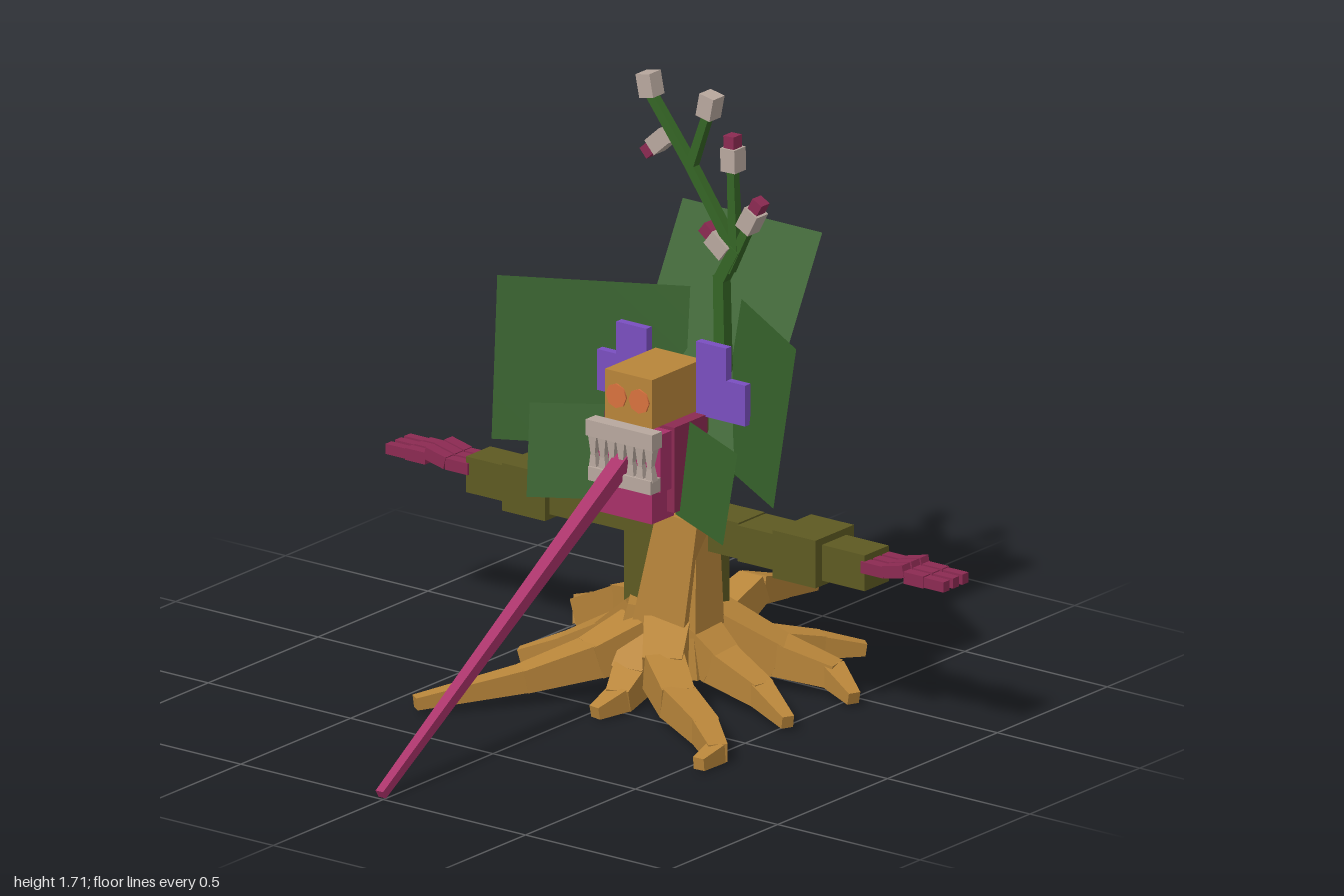
import * as THREE from 'three';

const mat = (name, color, side = THREE.FrontSide) => {
  const m = new THREE.MeshStandardMaterial({ color, side });
  m.name = name;
  return m;
};

export function createModel() {
  const ochre = mat('ochre bark', 0xb8853a);
  const olive = mat('olive wood', 0x5e5a22);
  const leafGreen = mat('leaf green', 0x35602a, THREE.DoubleSide);
  const stemGreen = mat('stem green', 0x356525);
  const pink = mat('magenta', 0xa83068);
  const wine = mat('wine red', 0x8c2a52);
  const bone = mat('bone grey', 0xb8a89e);
  const purple = mat('purple', 0x7a4fc0);
  const orange = mat('orange', 0xd8723e);

  const model = new THREE.Group();
  const V = (p) => new THREE.Vector3(...p);
  const group = (name) => {
    const g = new THREE.Group();
    g.name = name;
    model.add(g);
    return g;
  };

  // Box given by its min and max corners
  const box = (name, m, a, b, parent = model) => {
    const mesh = new THREE.Mesh(new THREE.BoxGeometry(b[0] - a[0], b[1] - a[1], b[2] - a[2]), m);
    mesh.name = name;
    mesh.position.set((a[0] + b[0]) / 2, (a[1] + b[1]) / 2, (a[2] + b[2]) / 2);
    parent.add(mesh);
    return mesh;
  };

  // Square bar between two points, w0 wide at the start and w1 at the end
  const bar = (name, m, p, q, w0, w1, parent = model) => {
    const a = V(p), b = V(q), dir = b.clone().sub(a), len = dir.length();
    const geo = new THREE.BoxGeometry(1, 1, len);
    const pos = geo.attributes.position;
    for (let i = 0; i < pos.count; i++) {
      const w = pos.getZ(i) > 0 ? w1 : w0;
      pos.setXY(i, pos.getX(i) * w, pos.getY(i) * w);
    }
    geo.computeVertexNormals();
    const mesh = new THREE.Mesh(geo, m);
    mesh.name = name;
    mesh.position.copy(a).add(b).multiplyScalar(0.5);
    mesh.lookAt(b);
    parent.add(mesh);
    return mesh;
  };

  // Chain of bars with steadily shrinking width
  const chain = (name, m, pts, w0, w1, parent) => {
    const n = pts.length - 1;
    const w = (i) => w0 + (w1 - w0) * i / n;
    for (let i = 0; i < n; i++) {
      const ext = V(pts[i + 1]).sub(V(pts[i])).setLength(i < n - 1 ? 0.012 : 0);
      bar(name, m, pts[i], V(pts[i + 1]).add(ext).toArray(), w(i), w(i + 1), parent);
    }
  };

  // Flat four-cornered leaf
  const leaf = (name, corners) => {
    const geo = new THREE.BufferGeometry();
    geo.setAttribute('position', new THREE.Float32BufferAttribute(corners.flat(), 3));
    geo.setIndex([0, 1, 2, 0, 2, 3]);
    geo.computeVertexNormals();
    const mesh = new THREE.Mesh(geo, leafGreen);
    mesh.name = name;
    model.add(mesh);
  };

  // Trunk with bark slabs on its front
  box('trunk', olive, [-0.11, 0.06, -0.435], [0.11, 0.65, -0.24]);
  const bark = group('bark');
  bar('barkColumn', ochre, [0.03, 0.12, -0.255], [0.095, 0.535, -0.265], 0.17, 0.13, bark);
  bar('barkShoulder', ochre, [0.095, 0.2, -0.28], [0.1, 0.59, -0.28], 0.13, 0.1, bark);
  bar('barkLeft', ochre, [-0.06, 0.06, -0.22], [-0.03, 0.25, -0.24], 0.14, 0.1, bark);
  bar('barkRight', ochre, [0.1, 0.06, -0.28], [0.08, 0.28, -0.28], 0.14, 0.12, bark);

  // Roots spreading over the ground
  const roots = group('roots');
  const rootPaths = [
    [[-0.02, 0.16, -0.4], [-0.02, 0.11, -0.55], [-0.015, 0.17, -0.7], [-0.02, 0.14, -0.83], [-0.03, 0.1, -1]],
    [[0.07, 0.16, -0.4], [0.13, 0.08, -0.54], [0.23, 0.06, -0.68], [0.32, 0.04, -0.78]],
    [[-0.07, 0.16, -0.4], [-0.13, 0.08, -0.54], [-0.235, 0.06, -0.67], [-0.36, 0.04, -0.76]],
    [[-0.08, 0.18, -0.38], [-0.25, 0.15, -0.45], [-0.44, 0.07, -0.5], [-0.485, 0.05, -0.6], [-0.47, 0.045, -0.7]],
    [[-0.06, 0.2, -0.28], [-0.16, 0.13, -0.26], [-0.28, 0.08, -0.215], [-0.41, 0.04, -0.155]],
    [[-0.03, 0.16, -0.2], [-0.09, 0.12, -0.08], [-0.2, 0.08, 0.09], [-0.385, 0.04, 0.355]],
    [[0.02, 0.14, -0.2], [0.035, 0.08, -0.09], [0.06, 0.05, 0], [0.045, 0.03, 0.095]],
    [[0.06, 0.18, -0.22], [0.135, 0.12, -0.1], [0.25, 0.08, -0.01], [0.41, 0.05, 0.07], [0.54, 0.04, 0.18], [0.545, 0.03, 0.27]],
    [[0.08, 0.18, -0.28], [0.2, 0.11, -0.27], [0.37, 0.07, -0.235], [0.53, 0.035, -0.155]],
    [[0.08, 0.18, -0.38], [0.27, 0.1, -0.45], [0.43, 0.07, -0.485], [0.55, 0.035, -0.43]],
  ];
  rootPaths.forEach((p) => chain('root', ochre, p, 0.13, 0.036, roots));

  // Arms, each with three fingers
  for (const s of [1, -1]) {
    const arm = group(s > 0 ? 'leftArm' : 'rightArm');
    const seg = (name, m, x0, x1, y0, y1, z0, z1) =>
      box(name, m, [Math.min(s * x0, s * x1), y0, z0], [Math.max(s * x0, s * x1), y1, z1], arm);
    seg('upperArm', olive, 0.1, 0.26, 0.425, 0.53, -0.4, -0.28);
    seg('elbow', olive, 0.26, 0.4, 0.42, 0.525, -0.405, -0.275);
    seg('forearm', olive, 0.4, 0.55, 0.405, 0.545, -0.43, -0.255);
    seg('wrist', olive, 0.55, 0.7, 0.42, 0.525, -0.395, -0.285);
    for (const z of [-0.38, -0.338, -0.295]) {
      seg('fingerBase', wine, 0.69, 0.77, 0.473, 0.507, z - 0.016, z + 0.016);
      bar('knuckle', wine, [s * 0.77, 0.492, z], [s * 0.84, 0.508, z], 0.036, 0.036, arm);
      seg('fingerMiddle', wine, 0.84, 0.91, 0.473, 0.508, z - 0.016, z + 0.016);
      seg('fingerTip', wine, 0.91, 0.98, 0.475, 0.505, z - 0.014, z + 0.014);
    }
  }

  // Head, eyes and ears
  box('neck', olive, [-0.07, 0.64, -0.39], [0.07, 0.93, -0.3]);
  box('head', ochre, [-0.085, 0.81, -0.35], [0.08, 0.955, -0.12]);
  for (const s of [1, -1]) {
    const eye = new THREE.Mesh(new THREE.CylinderGeometry(0.036, 0.036, 0.006, 8), orange);
    eye.name = 'eye';
    eye.rotation.x = Math.PI / 2;
    eye.position.set(s * 0.04 - 0.003, 0.885, -0.118);
    model.add(eye);
    const ear = group(s > 0 ? 'leftEar' : 'rightEar');
    box('earInner', purple, [-0.053, 0.805, -0.336], [0.053, 1.02, -0.311], ear).position.x = s * 0.14;
    box('earOuter', purple, [-0.034, 0.805, -0.336], [0.034, 0.925, -0.311], ear).position.x = s * 0.226;
  }

  // Mouth, jaw and teeth
  box('mouth', wine, [-0.125, 0.56, -0.32], [0.12, 0.81, -0.17]);
  box('palate', pink, [-0.11, 0.63, -0.17], [0.11, 0.8, -0.12]);
  box('lowerJaw', pink, [-0.1, 0.54, -0.2], [0.095, 0.635, -0.1]);
  const teeth = group('teeth');
  box('upperGum', bone, [-0.118, 0.765, -0.12], [0.115, 0.812, -0.075], teeth);
  box('lowerGum', bone, [-0.11, 0.635, -0.12], [0.11, 0.675, -0.075], teeth);
  for (let i = 0; i < 7; i++) {
    const x = -0.1 + i * 0.033;
    bar('upperTooth', bone, [x, 0.77, -0.095], [x, 0.7, -0.09], 0.03, 0.012, teeth);
    bar('lowerTooth', bone, [x, 0.67, -0.095], [x, 0.74, -0.09], 0.026, 0.01, teeth);
  }

  // Long straight tongue reaching the ground
  bar('tongue', pink, [-0.01, 0.73, -0.15], [-0.012, 0.02, 0.995], 0.046, 0.026);

  // Leaves: one behind, three mirrored pairs
  leaf('backLeaf', [[-0.24, 1.275, -0.675], [0.25, 1.275, -0.675], [0.25, 0.65, -0.345], [-0.24, 0.65, -0.345]]);
  const pairs = {
    largeLeaf: [[0.525, 1.117, -0.2], [0.495, 0.66, -0.135], [0.06, 0.635, -0.44], [0.09, 1.09, -0.515]],
    frontLeaf: [[0.365, 0.792, -0.14], [0.345, 0.53, -0.1], [0.1, 0.545, -0.2], [0.12, 0.81, -0.24]],
    rearLeaf: [[0.25, 0.96, -0.415], [0.24, 0.705, -0.34], [0.14, 0.66, -0.525], [0.16, 0.915, -0.6]],
  };
  for (const [name, c] of Object.entries(pairs))
    for (const s of [1, -1]) leaf(name, c.map(([x, y, z]) => [s * x, y, z]));

  // Flower stem and its branches, all in one plane
  const Z = -0.457;
  const plant = group('flowerStem');
  const twig = (pts, a, b) => chain('stem', stemGreen, pts.map(([x, y]) => [x, y, Z]), a, b, plant);
  twig([[0.08, 0.58], [0.07, 0.95], [0.065, 1.16], [0.12, 1.26]], 0.038, 0.034);
  twig([[0.1, 1.27], [-0.04, 1.47], [-0.18, 1.65]], 0.03, 0.026);
  twig([[-0.04, 1.47], [0.02, 1.64]], 0.028, 0.024);
  twig([[0.115, 1.24], [0.103, 1.51]], 0.03, 0.024);
  twig([[0.09, 1.19], [0.17, 1.35]], 0.03, 0.024);
  twig([[-0.11, 1.56], [-0.145, 1.525]], 0.02, 0.02);

  // Buds: x, y, tilt, open petal tip
  const buds = [
    [-0.187, 1.68, 0.2, false], [0.024, 1.66, -0.2, false], [-0.145, 1.525, 2.3, true],
    [0.105, 1.52, 0.03, true], [0.17, 1.355, -0.5, true], [0.063, 1.262, 0.9, true],
  ];
  for (const [x, y, tilt, open] of buds) {
    const bud = group('bud');
    bud.position.set(x, y, Z);
    bud.rotation.z = tilt;
    box('budCup', bone, [-0.025, -0.034, -0.026], [0.025, 0.034, 0.026], bud);
    if (open) box('petals', wine, [-0.018, 0.034, -0.019], [0.018, 0.07, 0.019], bud);
  }

  return model;
}
